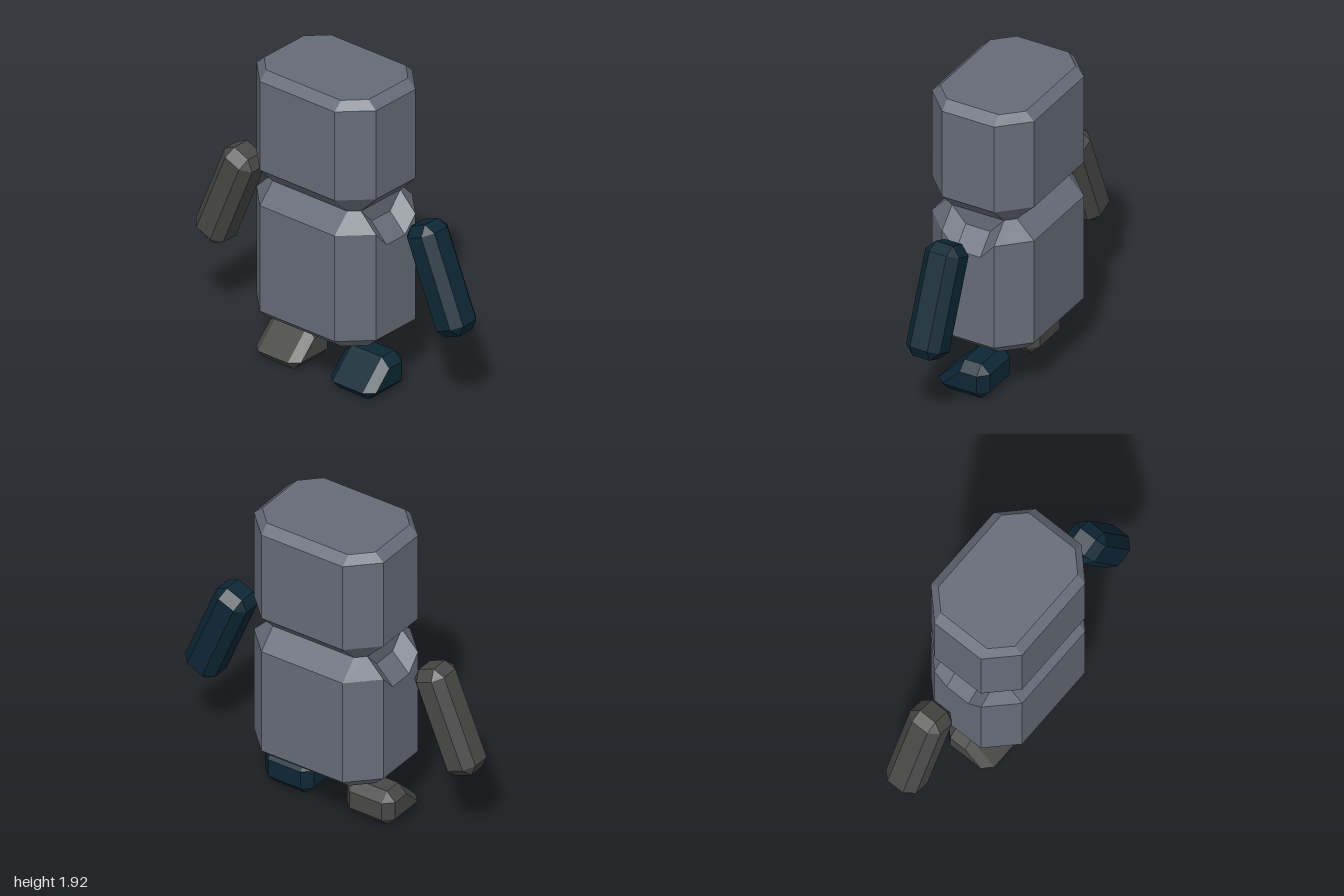
import * as THREE from 'three';
import { ConvexGeometry } from 'three/addons/geometries/ConvexGeometry.js';

const V = (x, y, z) => new THREE.Vector3(x, y, z);

// Octagon with half sizes X, Z and corner points at cx, cz; counter-clockwise from above
const ring = (y, X, Z, cx, cz) => [
  V(X, y, cz), V(X, y, -cz), V(cx, y, -Z), V(-cx, y, -Z),
  V(-X, y, -cz), V(-X, y, cz), V(-cx, y, Z), V(cx, y, Z),
];

// Flat polygons, each split as a fan from its first corner
function polygons(faces) {
  const points = [];
  for (const f of faces)
    for (let i = 1; i < f.length - 1; i++) points.push(f[0], f[i], f[i + 1]);
  const g = new THREE.BufferGeometry().setFromPoints(points);
  g.computeVertexNormals();
  return g;
}

// Torso: chamfered block with a bevelled shoulder notch on each side
function torsoGeometry() {
  const rings = [
    ring(0.345, 0.39, 0.28, 0.28, 0.17),
    ring(0.397, 0.447, 0.335, 0.28, 0.17),
    ring(1.073, 0.447, 0.335, 0.28, 0.17),
    ring(1.187, 0.335, 0.223, 0.28, 0.17),
  ];
  const faces = [[...rings[0]].reverse(), rings[3]];
  for (let i = 0; i < 8; i++) {
    const j = (i + 1) % 8;
    const [a, b, c, d] = rings.map((r) => r[i]);
    const [a2, b2, c2, d2] = rings.map((r) => r[j]);
    faces.push([a, a2, b2, b]);
    if (i % 4) {
      faces.push([b, b2, c2, c], [c, c2, d2, d]);
      continue;
    }
    // notch floor: outer edge n, inner edge m, both lowered and narrowed
    const lower = (p) => V(p.x, p.y - 0.1, Math.sign(p.z) * 0.08);
    const [n, n2, m, m2] = [c, c2, d, d2].map(lower);
    faces.push([b, b2, c2, n2, n, c], [n, n2, m2, m], [m, m2, d2, d], [c, n, m, d], [n2, c2, d2, m2]);
  }
  return polygons(faces);
}

// Foot: chamfered block with a sloping toe; full profile inside, inset profile at the ends
function footGeometry() {
  const full = [[0, -0.055], [0.057, -0.11], [0.17, -0.11], [0.225, -0.055], [0.225, 0.055], [0.057, 0.223], [0, 0.17]];
  const inset = [[0.057, -0.055], [0.17, -0.055], [0.17, 0.055], [0.057, 0.17]];
  const points = [];
  for (const s of [-1, 1]) {
    for (const [y, z] of full) points.push(V(s * 0.111, y, z));
    for (const [y, z] of inset) points.push(V(s * 0.167, y, z));
  }
  return new ConvexGeometry(points);
}

export function createModel() {
  const group = new THREE.Group();
  const material = (name, color) => {
    const m = new THREE.MeshStandardMaterial({ color });
    m.name = name;
    return m;
  };
  const slate = material('slate', 0x666c78);
  const charcoal = material('charcoal', 0x484847);
  const navy = material('navy', 0x0d2735);

  const add = (name, geometry, mat) => {
    const mesh = new THREE.Mesh(geometry, mat);
    mesh.name = name;
    group.add(mesh);
    return mesh;
  };

  add('torso', torsoGeometry(), slate);

  // Head narrows to the same neck outline as the torso
  add('head', new ConvexGeometry([
    ...ring(1.187, 0.335, 0.223, 0.28, 0.17),
    ...ring(1.3, 0.447, 0.335, 0.28, 0.17),
    ...ring(1.868, 0.447, 0.335, 0.28, 0.17),
    ...ring(1.92, 0.39, 0.28, 0.28, 0.17),
  ]), slate);

  // Arm: chamfered bar centred on its own middle
  const armGeometry = new ConvexGeometry([-1, 1].flatMap((s) => [
    ...ring(s * 0.282, 0.111, 0.111, 0.056, 0.056),
    ...[-1, 1].flatMap((k) => [V(0.056, s * 0.338, k * 0.056), V(-0.056, s * 0.338, k * 0.056)]),
  ]));
  const foot = footGeometry();

  // Limbs, right side charcoal and left side navy
  for (const [side, s, mat] of [['right', -1, charcoal], ['left', 1, navy]]) {
    const arm = add(side + 'Arm', armGeometry, mat);
    arm.position.set(s * 0.79, 0.85, 0);
    arm.rotation.z = s * THREE.MathUtils.degToRad(22.5);
    add(side + 'Foot', foot, mat).position.x = s * 0.28;
  }
  return group;
}
